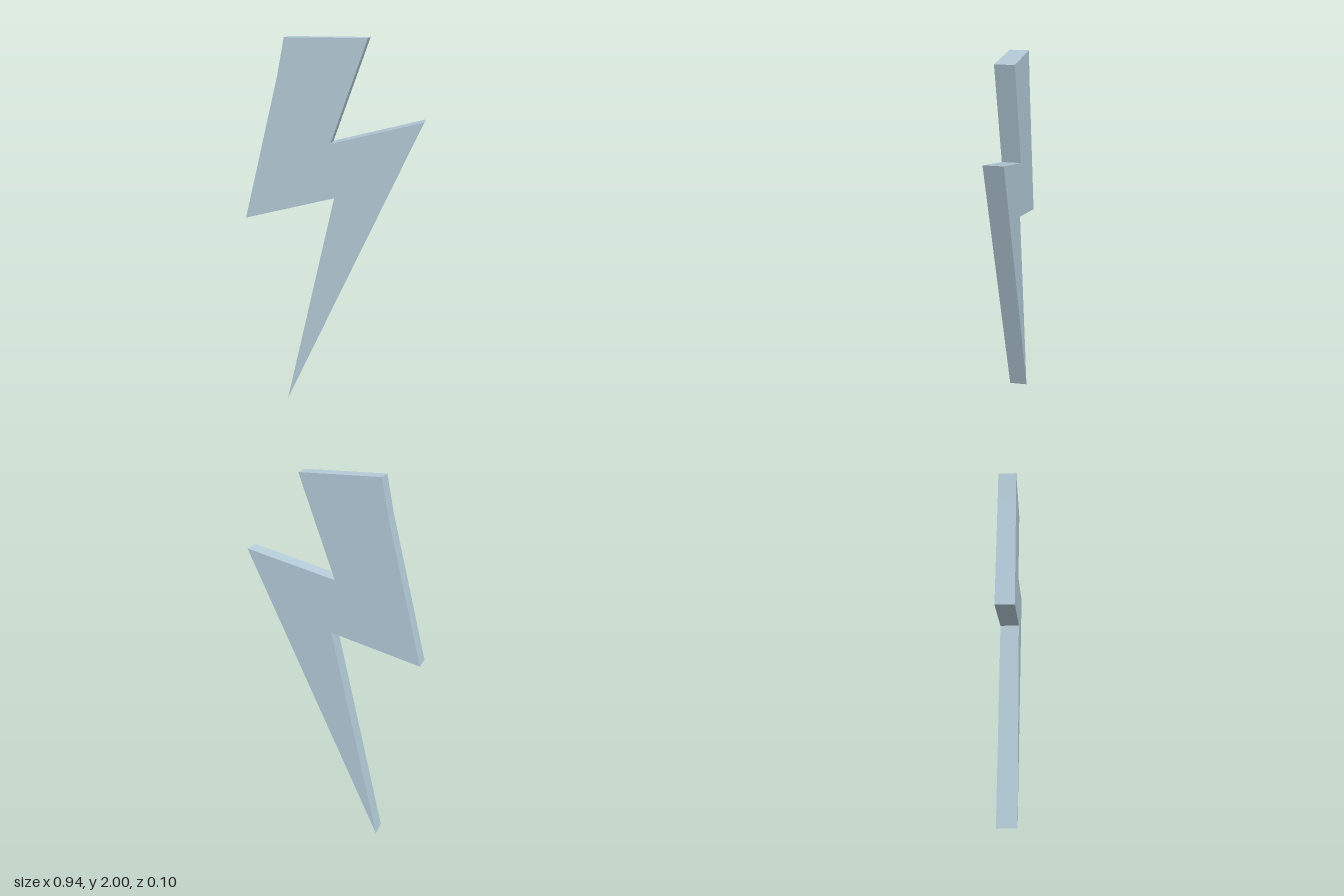
import * as THREE from 'three';

export function createModel() {
  const group = new THREE.Group();
  group.name = 'lightningBolt';

  // Zigzag outline, counter-clockwise from the bottom tip
  const outline = [
    [-0.255, 0], [0.47, 1.59], [-0.01, 1.465], [0.18, 2], [-0.247, 2],
    [-0.284, 1.81], [-0.47, 1.05], [0.01, 1.178],
  ].map(([x, y]) => new THREE.Vector2(x, y));

  // Flat slab with sharp edges, centred on z = 0
  const depth = 0.1;
  const geometry = new THREE.ExtrudeGeometry(new THREE.Shape(outline), { depth, bevelEnabled: false });
  geometry.translate(0, 0, -depth / 2);

  const bolt = new THREE.Mesh(geometry, new THREE.MeshStandardMaterial({ color: 0xb4cbd8 }));
  bolt.name = 'bolt';
  group.add(bolt);
  return group;
}
